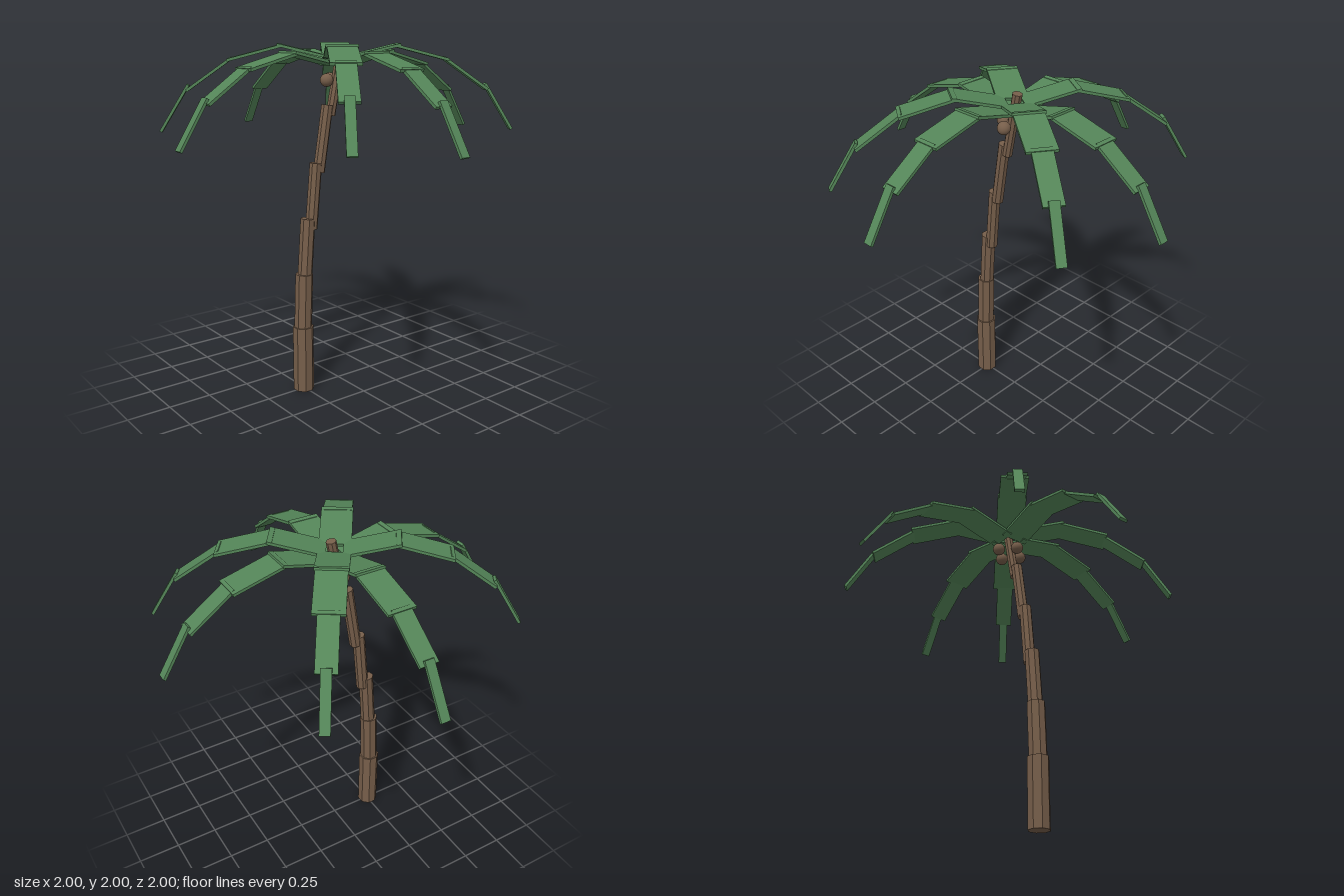
import * as THREE from 'three';

export function createModel() {
  const palm = new THREE.Group();
  palm.name = 'palmTree';

  const leafGreen = new THREE.MeshStandardMaterial({ color: 0x548558 });
  leafGreen.name = 'leafGreen';
  const barkBrown = new THREE.MeshStandardMaterial({ color: 0x765e4a });
  barkBrown.name = 'barkBrown';
  barkBrown.flatShading = true;
  const coconutBrown = new THREE.MeshStandardMaterial({ color: 0x765e4a });
  coconutBrown.name = 'coconutBrown';

  const add = (parent, geometry, material, name) => {
    const mesh = new THREE.Mesh(geometry, material);
    mesh.name = name;
    parent.add(mesh);
    return mesh;
  };

  // Trunk: overlapping eight-sided logs, each leaning a little further
  // [bottom x, bottom y, top x, top y, radius]
  const trunk = new THREE.Group();
  trunk.name = 'trunk';
  palm.add(trunk);
  const up = new THREE.Vector3(0, 1, 0);
  [
    [-0.255, 0, -0.255, 0.39, 0.061],
    [-0.257, 0.33, -0.244, 0.705, 0.052],
    [-0.242, 0.65, -0.215, 1.028, 0.043],
    [-0.192, 0.965, -0.157, 1.34, 0.036],
    [-0.137, 1.285, -0.076, 1.66, 0.034],
    [-0.055, 1.6, 0.022, 1.97, 0.028],
  ].forEach(([x0, y0, x1, y1, radius], i) => {
    const along = new THREE.Vector3(x1 - x0, y1 - y0, 0);
    const geometry = new THREE.CylinderGeometry(radius, radius, along.length(), 8);
    geometry.rotateY(Math.PI / 8);
    const log = add(trunk, geometry, barkBrown, 'trunkSegment' + (i + 1));
    log.position.set((x0 + x1) / 2, (y0 + y1) / 2, 0);
    log.quaternion.setFromUnitVectors(up, along.normalize());
  });

  // Coconuts: four in a cross below the crown
  for (let i = 0; i < 4; i++) {
    const a = (i * Math.PI) / 2;
    const nut = add(palm, new THREE.SphereGeometry(0.037, 20, 14), coconutBrown, 'coconut');
    nut.position.set(0.08 * Math.cos(a), 1.797, 0.08 * Math.sin(a));
  }

  // Frond: four flat blades that rise, then droop, getting narrower
  // [inner radius, inner y, outer radius, outer y, width]
  const blades = [
    [0.045, 1.882, 0.34, 1.952, 0.172],
    [0.31, 1.948, 0.612, 1.87, 0.16],
    [0.59, 1.88, 0.84, 1.705, 0.107],
    [0.832, 1.735, 0.993, 1.478, 0.053],
  ];
  const addFrond = (angle, lift) => {
    const frond = new THREE.Group();
    frond.name = 'frond';
    frond.rotation.y = -angle;
    frond.position.y = lift;
    blades.forEach(([r0, y0, r1, y1, width], i) => {
      const length = Math.hypot(r1 - r0, y1 - y0);
      const blade = add(frond, new THREE.BoxGeometry(length, 0.016, width), leafGreen, 'blade' + (i + 1));
      blade.position.set((r0 + r1) / 2, (y0 + y1) / 2, 0);
      blade.rotation.z = Math.atan2(y1 - y0, r1 - r0);
    });
    palm.add(frond);
  };

  // Crown: a lower cross of fronds and a raised cross turned between them
  for (let i = 0; i < 4; i++) {
    addFrond((i * Math.PI) / 2, 0);
    addFrond((i * Math.PI) / 2 + THREE.MathUtils.degToRad(33.5), 0.037);
  }

  return palm;
}
